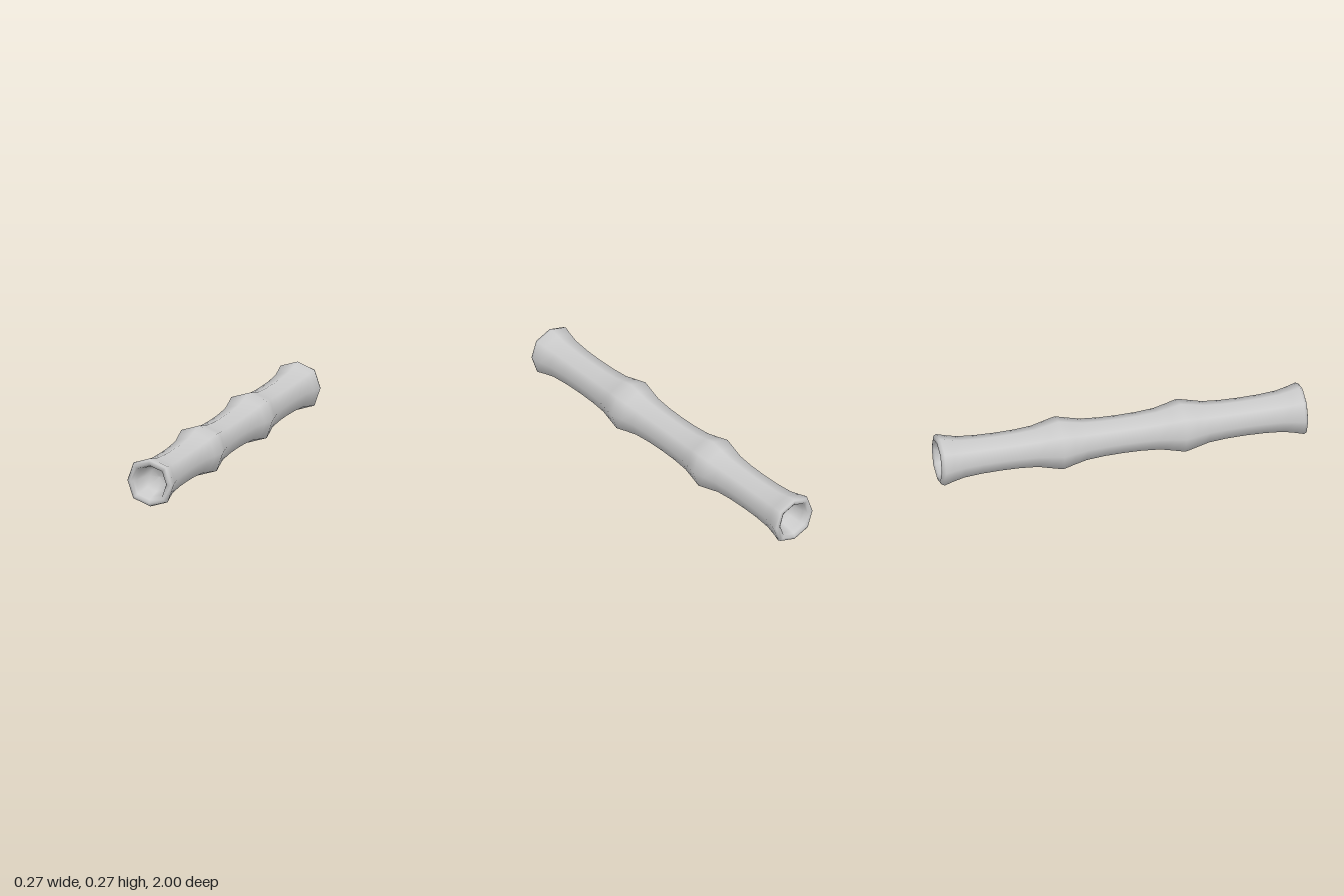
import * as THREE from 'three';

// Half profile [radius, distance from the middle], from the middle to the cup floor
const HALF = [
  [0.098, 0], [0.1, 0.1], [0.107, 0.2], [0.122, 0.27],
  [0.137, 0.333],
  [0.122, 0.4], [0.107, 0.465], [0.1, 0.56], [0.098, 0.667], [0.1, 0.77],
  [0.107, 0.87], [0.12, 0.93], [0.133, 0.98],
  [0.126, 0.996], [0.11, 1], [0.095, 0.99],
  [0.086, 0.965], [0.072, 0.9], [0.05, 0.87], [0, 0.862],
];

export function createModel() {
  const group = new THREE.Group();
  group.name = 'bambooStalk';

  // Mirror the half profile so both ends are hollowed the same way
  const mirrored = HALF.slice(1).reverse().map(([r, z]) => [r, -z]);
  const profile = [...mirrored, ...HALF].map(([r, z]) => new THREE.Vector2(r, z));
  const geometry = new THREE.LatheGeometry(profile, 8);

  // Push the diagonal corners of the eight-sided section out a little
  const pos = geometry.attributes.position;
  for (let i = 0; i < pos.count; i++) {
    const x = pos.getX(i), z = pos.getZ(i);
    const k = 1 + 0.05 * Math.sin(2 * Math.atan2(z, x)) ** 2;
    pos.setX(i, x * k);
    pos.setZ(i, z * k);
  }

  // Lay the stalk along z, resting on the ground
  geometry.rotateX(Math.PI / 2);
  geometry.translate(0, 0.137, 0);

  const stalk = new THREE.Mesh(geometry, new THREE.MeshStandardMaterial({ color: 0xcccccc }));
  stalk.name = 'stalk';
  group.add(stalk);
  return group;
}
